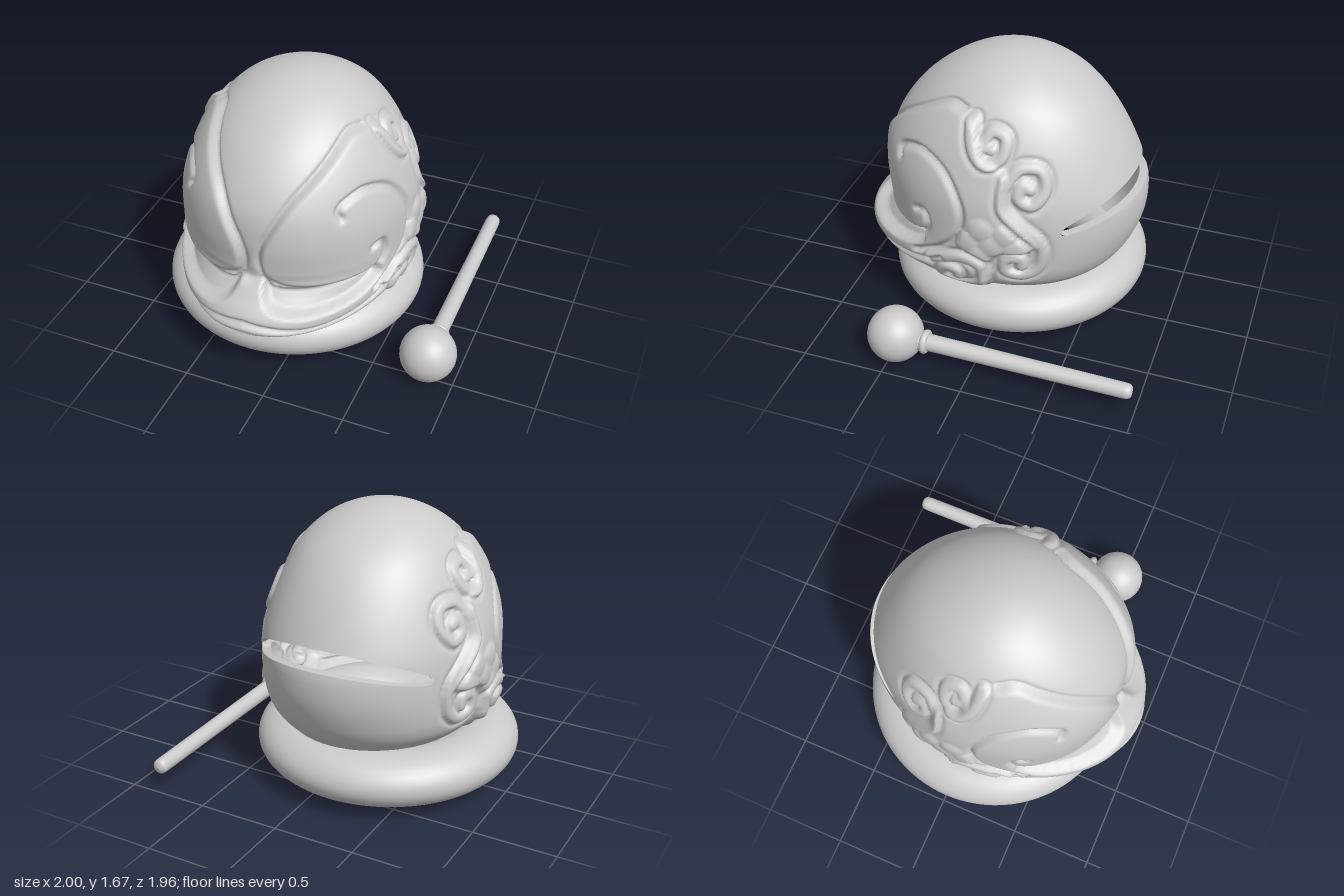
import * as THREE from 'three';
import { mergeVertices } from 'three/addons/utils/BufferGeometryUtils.js';

const grey = new THREE.MeshStandardMaterial({ color: 0xcccccc });
const shellGrey = new THREE.MeshStandardMaterial({ color: 0xcccccc, side: THREE.DoubleSide });
const TOP = 1.68, BOTTOM = 0.345, XC = -0.135, ZC = 0.05;

// Head profiles: [height, distance from the axis], smooth in q = sqrt(TOP - y)
const WIDTH = [[1.68, 0], [1.6, 0.3], [1.5, 0.43], [1.4, 0.505], [1.3, 0.56], [1.2, 0.602], [1.0, 0.665], [0.8, 0.68], [0.6, 0.68], [0.52, 0.67], [0.45, 0.64], [0.38, 0.57], [0.33, 0.5]];
const FRONT = [[1.68, 0], [1.6, 0.31], [1.5, 0.465], [1.4, 0.575], [1.25, 0.685], [1.12, 0.74], [0.95, 0.755], [0.78, 0.74], [0.7, 0.735], [0.62, 0.8], [0.55, 0.865], [0.48, 0.895], [0.42, 0.88], [0.37, 0.81], [0.33, 0.68]];
const BACK = [[1.68, 0], [1.6, 0.315], [1.5, 0.47], [1.4, 0.57], [1.2, 0.7], [1.05, 0.77], [0.95, 0.808], [0.85, 0.83], [0.7, 0.82], [0.55, 0.77], [0.45, 0.71], [0.36, 0.63], [0.33, 0.6]];

function makeProfile(table) {
  const q = table.map(p => Math.sqrt(TOP - p[0])), v = table.map(p => p[1]), n = q.length;
  const m = v.map((_, i) => {
    const a = Math.max(0, i - 1), b = Math.min(n - 1, i + 1);
    return (v[b] - v[a]) / (q[b] - q[a]);
  });
  return y => {
    const x = Math.min(q[n - 1], Math.sqrt(Math.max(0, TOP - y)));
    let i = 0;
    while (i < n - 2 && x > q[i + 1]) i++;
    const h = q[i + 1] - q[i], t = (x - q[i]) / h, s = 1 - t;
    return v[i] * (1 + 2 * t) * s * s + m[i] * h * t * s * s + v[i + 1] * t * t * (3 - 2 * t) - m[i + 1] * h * t * t * s;
  };
}
const width = makeProfile(WIDTH), front = makeProfile(FRONT), back = makeProfile(BACK);

// Plain head surface; angle 0 is the side, PI / 2 the front
function base(a, y) {
  const s = Math.sin(a);
  return [width(y) * Math.cos(a), y, ZC + s * (s > 0 ? front(y) : back(y))];
}
// Points on the surface, given as seen from the front (F) or from the side (S)
const unit = v => Math.max(-1, Math.min(1, v));
const F = (x, y) => new THREE.Vector2(Math.acos(unit(x / width(y))), y);
const S = (z, y) => new THREE.Vector2(Math.asin(unit((z - ZC) / (z > ZC ? front(y) : back(y)))), y);
const V = (a, y) => new THREE.Vector2(a, y);

function trace(points, count) {
  const flat = new THREE.SplineCurve(points).getSpacedPoints(count);
  return { flat, solid: flat.map(p => base(p.x, p.y)) };
}
function distance(samples, p) {
  let best = 9;
  for (const s of samples) {
    const dx = s[0] - p[0], dy = s[1] - p[1], dz = s[2] - p[2];
    best = Math.min(best, dx * dx + dy * dy + dz * dz);
  }
  return Math.sqrt(best);
}
function inside(poly, a, y) {
  let hit = false;
  for (let i = 0, j = poly.length - 1; i < poly.length; j = i++) {
    const p = poly[i], q = poly[j];
    if ((p.y > y) !== (q.y > y) && a < (q.x - p.x) * (y - p.y) / (q.y - p.y) + p.x) hit = !hit;
  }
  return hit;
}

// Raised eye and cheek field, and the sunken pocket under the eye
const brow = [S(0.2, 1.48), F(0.37, 1.47), F(0.23, 1.25), F(0.1, 1.02), F(0.05, 0.88), F(0.055, 0.77)];
const fields = [
  { height: 0.032, soft: 0.024, ...trace([...brow, F(0.04, 0.69), V(1.8, 0.67), V(1.9, 0.5), V(1.8, 0.27), V(0.8, 0.25), S(0.1, 0.3), S(0, 0.42), S(0, 0.58), S(-0.08, 0.69), S(-0.28, 0.75), S(-0.22, 0.87), S(-0.1, 1.02), S(-0.08, 1.2), S(0.04, 1.28), S(0.1, 1.42), S(0.2, 1.48)], 700) },
  { height: -0.065, soft: 0.022, ...trace([F(0.07, 0.7), F(0.15, 0.67), F(0.35, 0.66), F(0.52, 0.67), S(0.42, 0.7), S(0.41, 0.64), S(0.6, 0.57), F(0.3, 0.55), F(0.13, 0.59), F(0.07, 0.7)], 240) },
];
// Carved lines: brow edge, lip lines, swirl around the eye, eye underside
const grooves = [
  brow.concat(F(0.1, 0.7)),
  [F(0, 0.5), F(0.15, 0.48), F(0.35, 0.45), F(0.52, 0.47), S(0.4, 0.52), S(0.27, 0.59)],
  [F(0, 0.42), F(0.2, 0.4), F(0.45, 0.4), S(0.35, 0.43)],
  [S(0.58, 1.11), S(0.58, 1.16), S(0.52, 1.2), S(0.4, 1.22), S(0.25, 1.15), S(0.14, 0.97), S(0.16, 0.8), S(0.28, 0.66), S(0.45, 0.56)],
  [F(0.07, 0.72), F(0.2, 0.68), F(0.45, 0.67), S(0.44, 0.69), S(0.36, 0.77), S(0.38, 0.86), S(0.44, 0.85)],
].map(p => trace(p, 150).solid);
// Rounded scrolls
const scrolls = [
  [S(0.13, 1.45), S(0.1, 1.32), S(0.03, 1.25), S(-0.06, 1.28), S(-0.07, 1.38), S(0.01, 1.41), S(0.05, 1.34), S(0, 1.32)],
  [S(-0.1, 1.13), S(-0.17, 1.23), S(-0.28, 1.22), S(-0.32, 1.12), S(-0.26, 1.03), S(-0.18, 1.07), S(-0.19, 1.14), S(-0.24, 1.12)],
  [S(-0.1, 1.18), S(-0.1, 1.02), S(-0.2, 0.9), S(-0.31, 0.78), S(-0.31, 0.62), S(-0.22, 0.54), S(-0.12, 0.57), S(-0.12, 0.66), S(-0.2, 0.67), S(-0.21, 0.62)],
  [S(0.35, 0.56), S(0.15, 0.64), S(0.02, 0.6), S(0.02, 0.48), S(0.15, 0.41), S(0.27, 0.45), S(0.25, 0.53), S(0.17, 0.53), S(0.17, 0.48)],
].map(p => trace(p, 120).solid);
// Overlapping fish scales
const scales = [S(0.02, 0.86), S(0.1, 0.77), S(-0.04, 0.77), S(-0.12, 0.84), S(0.04, 0.69), S(-0.17, 0.76)].map(p => base(p.x, p.y));

function relief(a, y, p) {
  let h = 0;
  for (const f of fields) {
    const d = distance(f.solid, p) * (inside(f.flat, a, y) ? 1 : -1);
    h += f.height * THREE.MathUtils.smoothstep(d, -f.soft, f.soft);
  }
  const line = Math.min(...grooves.map(g => distance(g, p)));
  const scroll = Math.min(...scrolls.map(s => distance(s, p)));
  h -= 0.03 * Math.exp(-((line / 0.019) ** 2));
  h -= 0.012 * Math.exp(-(((scroll - 0.048) / 0.014) ** 2));
  if (scroll < 0.036) return h + 0.02 * Math.sqrt(1 - (scroll / 0.036) ** 2);
  const dome = 1 - (distance(scales, p) / 0.075) ** 2;
  return h + 0.022 * Math.sqrt(Math.max(0, dome)) * THREE.MathUtils.smoothstep(scroll, 0.036, 0.06);
}

// Carved surface point, mirrored between the two sides
function carved(angle, y) {
  const side = Math.cos(angle) < 0 ? -1 : 1;
  const a = side < 0 ? Math.PI - angle : angle;
  const local = Math.atan2(Math.sin(a), Math.cos(a));
  const p = base(local, y);
  const h = y > 1.6 || p[2] < -0.45 ? 0 : relief(local, y, p);
  return [XC + side * (p[0] + h * Math.cos(local)), y, p[2] + h * Math.sin(local)];
}

// Slit that rises toward the back: its middle height and half opening
function slit(angle) {
  const z = base(angle, 0.9)[2], u = Math.max(0, (-z - 0.41) / 0.35);
  return { mid: 0.842 + 0.128 * u, half: 0.06 * Math.pow(u, 0.33) };
}

function gridGeometry(rows, cols, point) {
  const pos = [], index = [];
  for (let j = 0; j <= rows; j++) for (let i = 0; i < cols; i++) pos.push(...point(i / cols * Math.PI * 2, j / rows));
  for (let j = 0; j < rows; j++) for (let i = 0; i < cols; i++) {
    const a = j * cols + i, b = j * cols + (i + 1) % cols;
    index.push(a, a + cols, b, b, a + cols, b + cols);
  }
  const g = new THREE.BufferGeometry();
  g.setAttribute('position', new THREE.Float32BufferAttribute(pos, 3));
  g.setIndex(index);
  return g;
}

function add(parent, name, geometry, material = grey) {
  const mesh = new THREE.Mesh(geometry, material);
  mesh.name = name;
  parent.add(mesh);
  return mesh;
}

function makeHead() {
  const head = new THREE.Group();
  head.name = 'fishHead';
  const cols = 360;
  const shells = {
    lowerShell: gridGeometry(54, cols, (a, t) => {
      const s = slit(a);
      return carved(a, BOTTOM + (s.mid - s.half - BOTTOM) * t);
    }),
    upperShell: gridGeometry(112, cols, (a, t) => {
      const s = slit(a), q = Math.sqrt(TOP - s.mid - s.half) * (1 - t);
      return carved(a, TOP - q * q);
    }),
  };
  for (const [name, g] of Object.entries(shells)) {
    const m = mergeVertices(g, 1e-5);
    m.computeVertexNormals();
    add(head, name, m, shellGrey);
  }
  // Wall thickness along both edges of the slit
  for (const k of [-1, 1]) {
    const lip = gridGeometry(1, 180, (a, t) => {
      const s = slit(a), p = carved(a, s.mid + k * s.half), d = s.half > 0 ? 0.05 * t : 0;
      return [p[0] - d * Math.cos(a), p[1], p[2] - d * Math.sin(a)];
    });
    lip.computeVertexNormals();
    add(head, k < 0 ? 'lowerSlitEdge' : 'upperSlitEdge', lip, shellGrey);
  }
  return head;
}

function makeMallet() {
  const mallet = new THREE.Group();
  mallet.name = 'mallet';
  add(mallet, 'malletBall', new THREE.SphereGeometry(0.17, 32, 24)).position.set(0, 0.008, 0.468);
  const collar = add(mallet, 'malletCollar', new THREE.TorusGeometry(0.052, 0.022, 12, 32));
  collar.position.z = 0.278;
  // Stick with a rounded end
  const profile = [[0, -0.98], [0.03, -0.975], [0.044, -0.96], [0.047, -0.93], [0.052, 0.25], [0.06, 0.33]];
  const stick = add(mallet, 'malletStick', new THREE.LatheGeometry(profile.map(p => new THREE.Vector2(...p)), 28));
  stick.rotation.x = Math.PI / 2;
  mallet.position.set(0.83, 0.163, 0);
  mallet.rotation.x = -0.01;
  return mallet;
}

export function createModel() {
  const model = new THREE.Group();
  model.name = 'woodenFishDrum';
  const cushion = add(model, 'ringCushion', new THREE.TorusGeometry(0.59, 0.213, 32, 96).scale(1, 1, 0.75).rotateX(Math.PI / 2));
  cushion.position.set(-0.195, 0.22, 0.02);
  model.add(makeHead(), makeMallet());
  return model;
}
